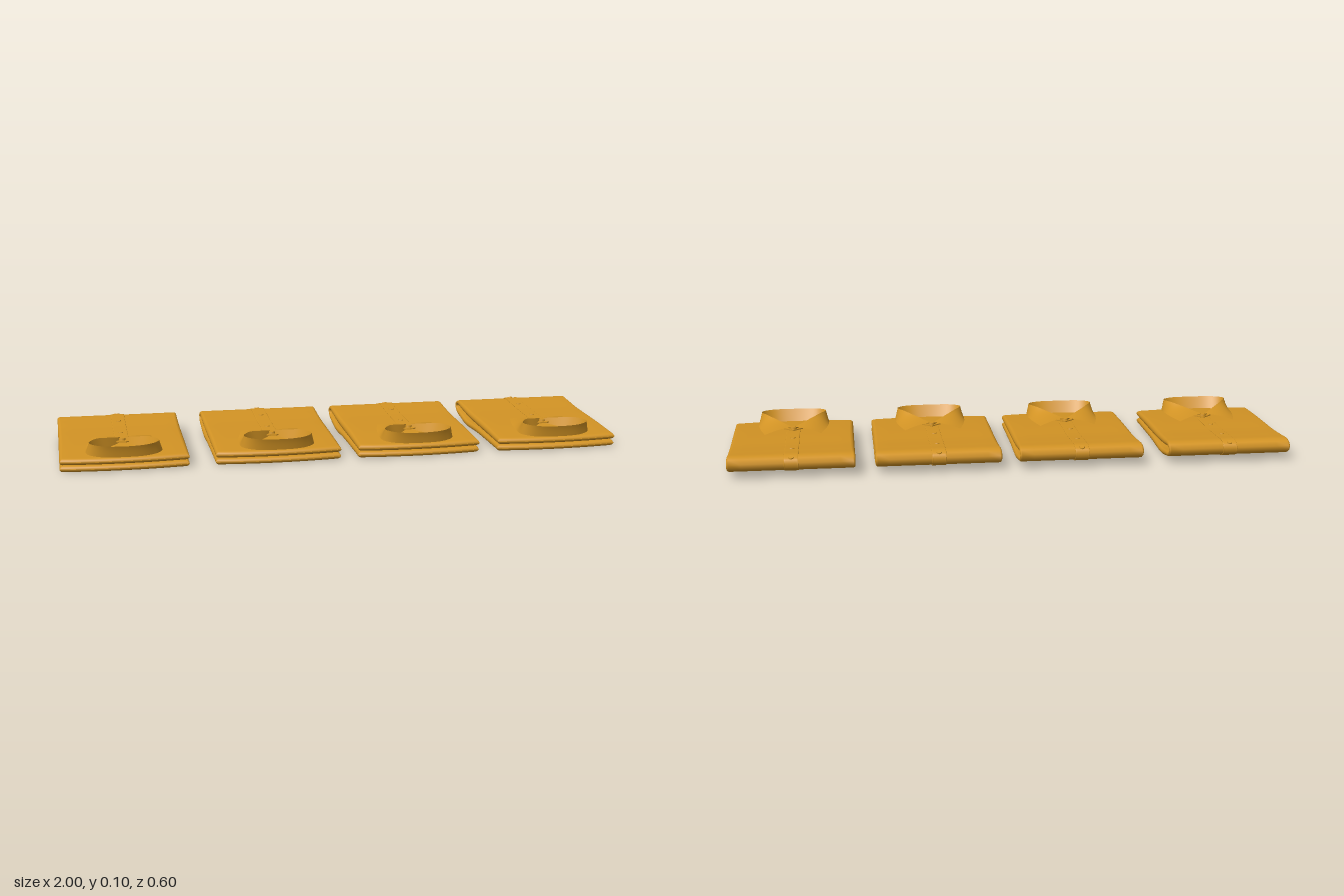
import * as THREE from 'three';

const gold = new THREE.MeshStandardMaterial({ color: 0xd29324, side: THREE.DoubleSide });
gold.name = 'golden cloth';

const WIDTH = 0.444;

// Folded cloth path, from the lower front edge round the rear fold to the upper
// front edge. Each entry is half thickness, y, z.
const foldPath = new THREE.CatmullRomCurve3([
  [0.011, 0.014, 0.283], [0.011, 0.017, 0.15], [0.011, 0.019, 0], [0.011, 0.016, -0.15],
  [0.010, 0.027, -0.22], [0.008, 0.039, -0.272], [0.007, 0.056, -0.29], [0.008, 0.07, -0.268],
  [0.012, 0.064, -0.2], [0.014, 0.055, -0.1], [0.015, 0.051, 0], [0.0145, 0.047, 0.12], [0.011, 0.04, 0.29],
].map((p) => new THREE.Vector3(...p)));

// Point, outward normal and half thickness of the fold at u
function foldFrame(u) {
  const p = foldPath.getPointAt(u);
  const t = foldPath.getTangentAt(u);
  const n = new THREE.Vector3(0, t.z, -t.y).normalize();
  return { c: new THREE.Vector3(0, p.y, p.z), n, h: p.x };
}

// Indexed surface through rows of points
function loft(rows, closed) {
  const m = rows[0].length;
  const pos = rows.flat().flatMap((v) => [v.x, v.y, v.z]);
  const idx = [];
  for (let i = 0; i < rows.length - 1; i++) {
    for (let j = 0; j < (closed ? m : m - 1); j++) {
      const k = (j + 1) % m;
      const a = i * m + j, b = i * m + k, c = a + m, d = b + m;
      idx.push(a, b, c, b, d, c);
    }
  }
  const g = new THREE.BufferGeometry();
  g.setAttribute('position', new THREE.Float32BufferAttribute(pos, 3));
  g.setIndex(idx);
  g.computeVertexNormals();
  return g;
}

// Flat section with rounded sides: pairs of x and offset along the normal
function section(width, h) {
  const out = [];
  const half = width / 2 - h;
  for (const s of [1, -1]) {
    for (let i = 0; i <= 6; i++) {
      const a = -Math.PI / 2 + (Math.PI * i) / 6;
      out.push([s * (half + h * Math.cos(a)), s * h * Math.sin(a)]);
    }
    for (let i = 1; i < 10; i++) out.push([s * half * (1 - i / 5), s * h]);
  }
  return out;
}

// Cloth strip along the fold, with rounded ends and a bowed front edge
function clothStrip(width, u0, u1, halfThickness, lift) {
  const us = [0, 0.0004, 0.0015, 0.004, 0.008];
  const params = [...us, ...Array.from({ length: 71 }, (_, i) => 0.012 + (0.976 * i) / 70),
    ...us.map((u) => 1 - u).reverse()];
  const rows = params.map((s) => {
    const { c, n, h } = foldFrame(u0 + (u1 - u0) * s);
    const e = 1 - Math.min(1, Math.min(s, 1 - s) / 0.012);
    const half = Math.max(0.0002, (halfThickness ?? h) * Math.sqrt(1 - e * e));
    return section(width, half).map(([x, o]) => {
      const p = c.clone().addScaledVector(n, o + (lift ? h + lift : 0));
      p.x = x;
      p.z -= 0.016 * (2 * x / WIDTH) ** 2 * Math.max(0, p.z / 0.28);
      return p;
    });
  });
  return loft(rows, true);
}

// Full edge round the neck, from one half given as knot to centre back
function neckEdge(half) {
  const right = half.map(([x, y, z]) => new THREE.Vector3(x, y, z));
  const left = half.slice(0, -1).reverse().map(([x, y, z]) => new THREE.Vector3(-x, y, z));
  return new THREE.CatmullRomCurve3([...right, ...left]);
}

const collarTop = neckEdge([[0.007, 0.079, 0.1], [0.05, 0.09, 0.145], [0.095, 0.1, 0.195],
  [0.12, 0.099, 0.25], [0.085, 0.096, 0.287], [0, 0.094, 0.3]]);
const collarOuter = neckEdge([[0.103, 0.068, 0.04], [0.122, 0.066, 0.12], [0.131, 0.063, 0.195],
  [0.126, 0.059, 0.25], [0.085, 0.055, 0.278], [0, 0.054, 0.289]]);
const collarInner = neckEdge([[0.004, 0.06, 0.103], [0.038, 0.056, 0.15], [0.078, 0.053, 0.2],
  [0.104, 0.05, 0.242], [0.075, 0.047, 0.263], [0, 0.045, 0.273]]);

// Surface between two edges, arched upward a little in the middle
function band(a, b, arch) {
  const rows = [];
  for (let i = 0; i <= 6; i++) {
    const k = i / 6;
    rows.push(Array.from({ length: 61 }, (_, j) => {
      const p = a.getPoint(j / 60).lerp(b.getPoint(j / 60), k);
      p.y += arch * Math.sin(Math.PI * k);
      return p;
    }));
  }
  return loft(rows, false);
}

// Pointed tab that closes the neck
const tabShape = new THREE.Shape([[-0.035, -0.012], [0, 0.016], [0.035, -0.012], [0.012, -0.026], [-0.012, -0.026]]
  .map(([x, y]) => new THREE.Vector2(x, y)));
const tabGeometry = new THREE.ExtrudeGeometry(tabShape, { depth: 0.004, bevelEnabled: false });
tabGeometry.rotateX(-Math.PI / 2);

const geometry = {
  foldedBody: clothStrip(WIDTH, 0, 1, null, 0),
  placket: clothStrip(0.05, 0.38, 0.835, 0.0018, 0.0005),
  collarLeaf: band(collarTop, collarOuter, 0.003),
  collarStand: band(collarInner, collarTop, 0),
};
const buttonGeometry = new THREE.CylinderGeometry(0.009, 0.01, 0.004, 16);

function createShirt() {
  const shirt = new THREE.Group();
  const add = (name, geo) => {
    const mesh = new THREE.Mesh(geo, gold);
    mesh.name = name;
    shirt.add(mesh);
    return mesh;
  };
  for (const [name, geo] of Object.entries(geometry)) add(name, geo);
  add('neckTab', tabGeometry).position.set(0, 0.066, 0.103);

  // Buttons down the placket and round the fold
  for (const u of [0.515, 0.605, 0.74]) {
    const { c, n, h } = foldFrame(u);
    const button = add('button', buttonGeometry);
    button.position.copy(c).addScaledVector(n, h + 0.003);
    button.quaternion.setFromUnitVectors(new THREE.Vector3(0, 1, 0), n);
  }
  const collarButton = add('collarButton', buttonGeometry);
  collarButton.position.set(0, 0.073, 0.105);
  collarButton.scale.set(1.2, 2, 1.2);
  return shirt;
}

export function createModel() {
  const model = new THREE.Group();
  model.name = 'foldedShirts';
  [-0.778, -0.243, 0.264, 0.778].forEach((x, i) => {
    const shirt = createShirt();
    shirt.name = `shirt${i + 1}`;
    shirt.position.x = x;
    model.add(shirt);
  });
  return model;
}
